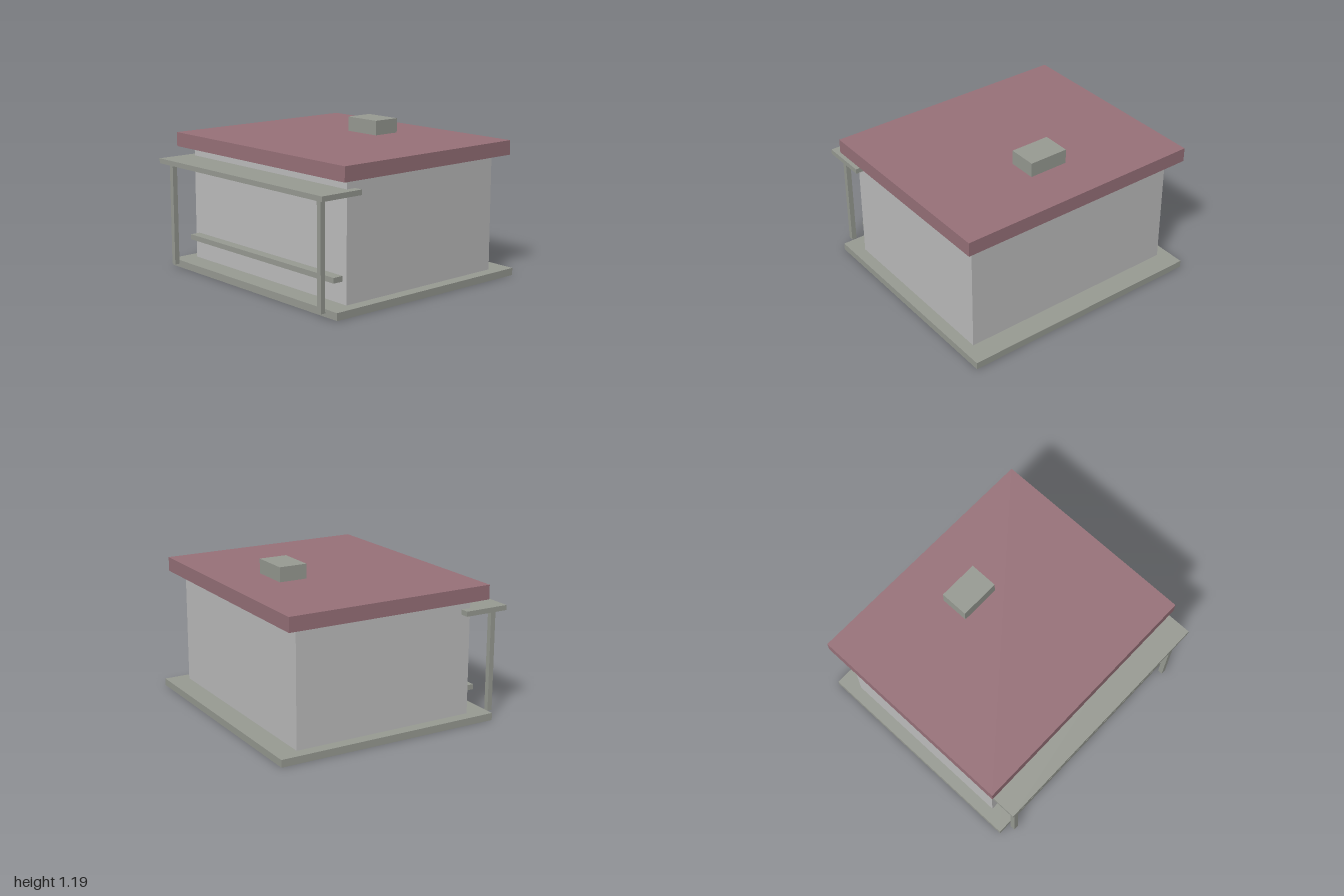
import * as THREE from 'three';

const material = (name, color) => {
  const m = new THREE.MeshStandardMaterial({ color });
  m.name = name;
  return m;
};

export function createModel() {
  const group = new THREE.Group();
  group.name = 'house';

  const wall = material('wall grey', 0xbfbfbf);
  const roof = material('roof red', 0x99727a);
  const trim = material('trim grey', 0x999c94);

  // Box given by its [min, max] range on each axis
  const box = (name, mat, [x0, x1], [y0, y1], [z0, z1]) => {
    const mesh = new THREE.Mesh(new THREE.BoxGeometry(x1 - x0, y1 - y0, z1 - z0), mat);
    mesh.position.set((x0 + x1) / 2, (y0 + y1) / 2, (z0 + z1) / 2);
    mesh.name = name;
    group.add(mesh);
  };

  // Main building
  box('foundation', trim, [-1, 1], [0, 0.057], [-0.967, 0.85]);
  box('walls', wall, [-0.907, 0.907], [0.057, 0.96], [-0.795, 0.68]);
  box('roof', roof, [-1, 1], [0.96, 1.072], [-0.898, 0.782]);
  box('chimney', trim, [-0.16, 0.16], [1.072, 1.186], [-0.512, -0.286]);

  // Front porch
  box('canopy', trim, [-0.977, 0.977], [0.847, 0.886], [0.602, 0.965]);
  box('frontLedge', trim, [-0.865, 0.865], [0.222, 0.263], [0.68, 0.764]);
  for (const side of [-1, 1]) {
    const x = side * 0.888;
    box(side > 0 ? 'leftPost' : 'rightPost', trim, [x - 0.02, x + 0.02], [0.04, 0.847], [0.878, 0.918]);
  }

  return group;
}
